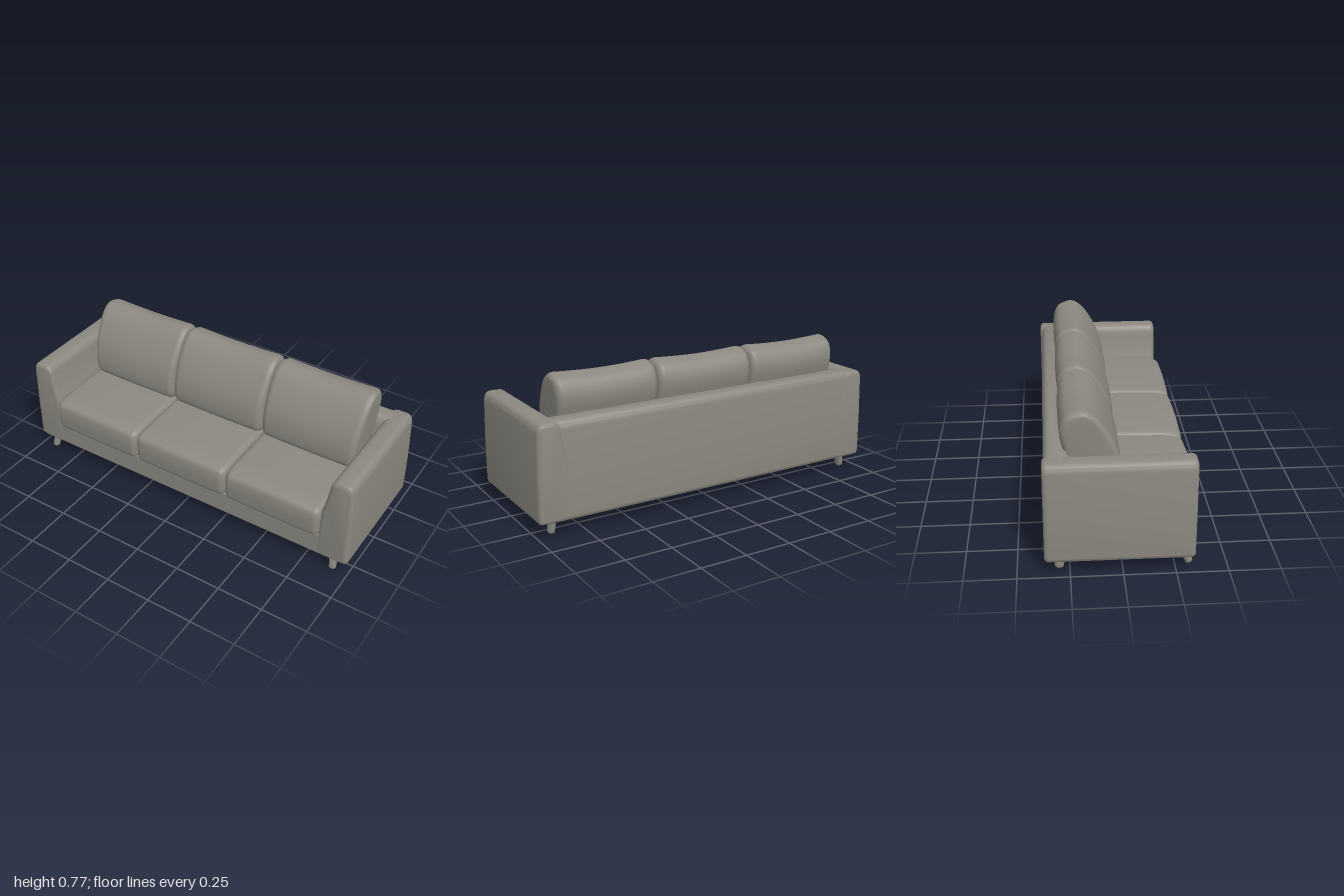
import * as THREE from 'three';
import { toCreasedNormals } from 'three/addons/utils/BufferGeometryUtils.js';
import { RoundedBoxGeometry } from 'three/addons/geometries/RoundedBoxGeometry.js';

const fabric = new THREE.MeshStandardMaterial({ color: 0x8b8880 });
fabric.name = 'warm grey';

function add(parent, name, geometry, x = 0, y = 0, z = 0) {
  const mesh = new THREE.Mesh(geometry, fabric);
  mesh.name = name;
  mesh.position.set(x, y, z);
  parent.add(mesh);
  return mesh;
}

// Upholstered wall: upright outside, sloping inside, rounded top; x runs inwards from the outer face
function wallGeometry(length) {
  const bevel = 0.022;
  const s = new THREE.Shape();
  s.moveTo(0.02, 0.075);
  s.quadraticCurveTo(0.003, 0.075, 0.002, 0.1);
  s.lineTo(0.003, 0.3);
  s.lineTo(0.01, 0.53);
  s.quadraticCurveTo(0.013, 0.578, 0.05, 0.578);
  s.lineTo(0.095, 0.578);
  s.quadraticCurveTo(0.126, 0.576, 0.134, 0.535);
  s.quadraticCurveTo(0.148, 0.44, 0.168, 0.37);
  s.lineTo(0.18, 0.2);
  s.lineTo(0.18, 0.075);
  const g = new THREE.ExtrudeGeometry(s, {
    depth: length - 2 * bevel, bevelThickness: bevel, bevelSize: bevel,
    bevelOffset: -bevel, bevelSegments: 5, curveSegments: 8,
  });
  g.translate(0, 0, bevel - length / 2);
  return toCreasedNormals(g, 0.7);
}

// Stuffed cushion: a (z, y) side profile lofted along x, with rounded ends
function cushionGeometry(profile, width, radius, crown, taper) {
  const curve = new THREE.CatmullRomCurve3(
    profile.map(([z, y]) => new THREE.Vector3(0, y, z)), true, 'centripetal');
  const n = 56;
  const ring = curve.getPoints(n).slice(0, n);
  const box = new THREE.Box3().setFromPoints(ring);
  const mid = box.getCenter(new THREE.Vector3());
  const half = box.getSize(new THREE.Vector3()).multiplyScalar(0.5);
  const hw = width / 2;

  // Stations along x, each with how far its ring is drawn in
  const end = [];
  for (let k = 0; k <= 7; k++) {
    const a = (k / 7) * Math.PI / 2;
    end.push([hw - radius + radius * Math.sin(a), radius * (1 - Math.cos(a))]);
  }
  end.push([hw + 0.002, radius * 1.6], [hw + 0.004, null]);
  const middle = [];
  for (let k = 1; k < 10; k++) middle.push([(hw - radius) * (k / 5 - 1), 0]);
  const stations = [...end.map(([x, d]) => [-x, d]).reverse(), ...middle, ...end];

  const pos = [], index = [];
  stations.forEach(([x, inset], i) => {
    const u = Math.min(1, Math.abs(x) / hw);
    const sz = inset === null ? 0 : (1 - inset / half.z) * (1 - taper * u * u);
    const sy = inset === null ? 0 : 1 - inset * 0.8 / half.y;
    ring.forEach((p, j) => {
      const up = (p.y - box.min.y) / (2 * half.y);
      const puff = inset === null ? 0 : crown * up * Math.cos(u * Math.PI / 2);
      pos.push(x, mid.y + (p.y - mid.y) * sy + puff, mid.z + (p.z - mid.z) * sz);
      if (i < stations.length - 1) {
        const a = i * n + j, b = i * n + (j + 1) % n;
        index.push(a, a + n, b + n, a, b + n, b);
      }
    });
  });
  const g = new THREE.BufferGeometry();
  g.setAttribute('position', new THREE.Float32BufferAttribute(pos, 3));
  g.setIndex(index);
  g.computeVertexNormals();
  return g;
}

// Side profiles as [z, y], going up the front, back over the top and down the rear
const seatProfile = [
  [0.335, 0.203], [0.362, 0.215], [0.37, 0.26], [0.37, 0.32], [0.36, 0.358], [0.325, 0.375],
  [0.15, 0.385], [-0.1, 0.385], [-0.22, 0.375], [-0.25, 0.3], [-0.22, 0.203], [0.05, 0.203],
];
const pillowProfile = [
  [-0.03, 0.375], [0.002, 0.4], [0.008, 0.45], [0.0, 0.52], [-0.022, 0.59], [-0.065, 0.67],
  [-0.115, 0.735], [-0.175, 0.77], [-0.225, 0.762], [-0.265, 0.74], [-0.288, 0.69],
  [-0.29, 0.64], [-0.275, 0.57], [-0.24, 0.46], [-0.2, 0.375], [-0.12, 0.365],
];

export function createModel() {
  const sofa = new THREE.Group();
  sofa.name = 'sofa';

  // Frame
  add(sofa, 'base', new RoundedBoxGeometry(1.94, 0.14, 0.705, 4, 0.014), 0, 0.145, -0.0125);
  const arm = wallGeometry(0.712);
  add(sofa, 'rightArm', arm, -1, 0, -0.015);
  add(sofa, 'leftArm', arm, 1, 0, -0.015).rotation.y = Math.PI;
  add(sofa, 'backrest', wallGeometry(1.95), 0, 0, -0.373).rotation.y = -Math.PI / 2;

  // Three seat cushions and three back cushions
  const places = [['right', -1], ['middle', 0], ['left', 1]];
  for (const [side, k] of places) {
    const seatWidth = k ? 0.55 : 0.562;
    const seat = cushionGeometry(seatProfile, seatWidth, 0.035, 0.009, 0.015);
    add(sofa, side + 'SeatCushion', seat, k * 0.558, 0, 0);
    const pillow = cushionGeometry(pillowProfile, k ? 0.55 : 0.562, 0.035, -0.012, 0.04);
    // Outer pillows lean outwards a little towards the top
    const p = pillow.attributes.position;
    for (let i = 0; i < p.count; i++) {
      const outer = Math.max(0, k * p.getX(i)) / 0.275;
      p.setX(i, p.getX(i) + k * outer * (p.getY(i) - 0.6) * 0.06);
    }
    pillow.computeVertexNormals();
    add(sofa, side + 'BackCushion', pillow, k * 0.563, 0, 0);
  }

  // Legs, leaning slightly outwards
  const legProfile = [[0, 0], [0.013, 0], [0.018, 0.005], [0.019, 0.012], [0.024, 0.1], [0, 0.1]];
  const leg = toCreasedNormals(
    new THREE.LatheGeometry(legProfile.map(([r, y]) => new THREE.Vector2(r, y)), 20), 0.9);
  for (const [side, s] of [['right', -1], ['left', 1]]) {
    const front = add(sofa, side + 'FrontLeg', leg, s * 0.915, 0.004, 0.321);
    front.rotation.set(-0.34, 0, s * 0.1);
    const back = add(sofa, side + 'BackLeg', leg, s * 0.915, 0.002, -0.3);
    back.rotation.z = s * 0.1;
    back.scale.z = 1.2;
  }
  return sofa;
}
